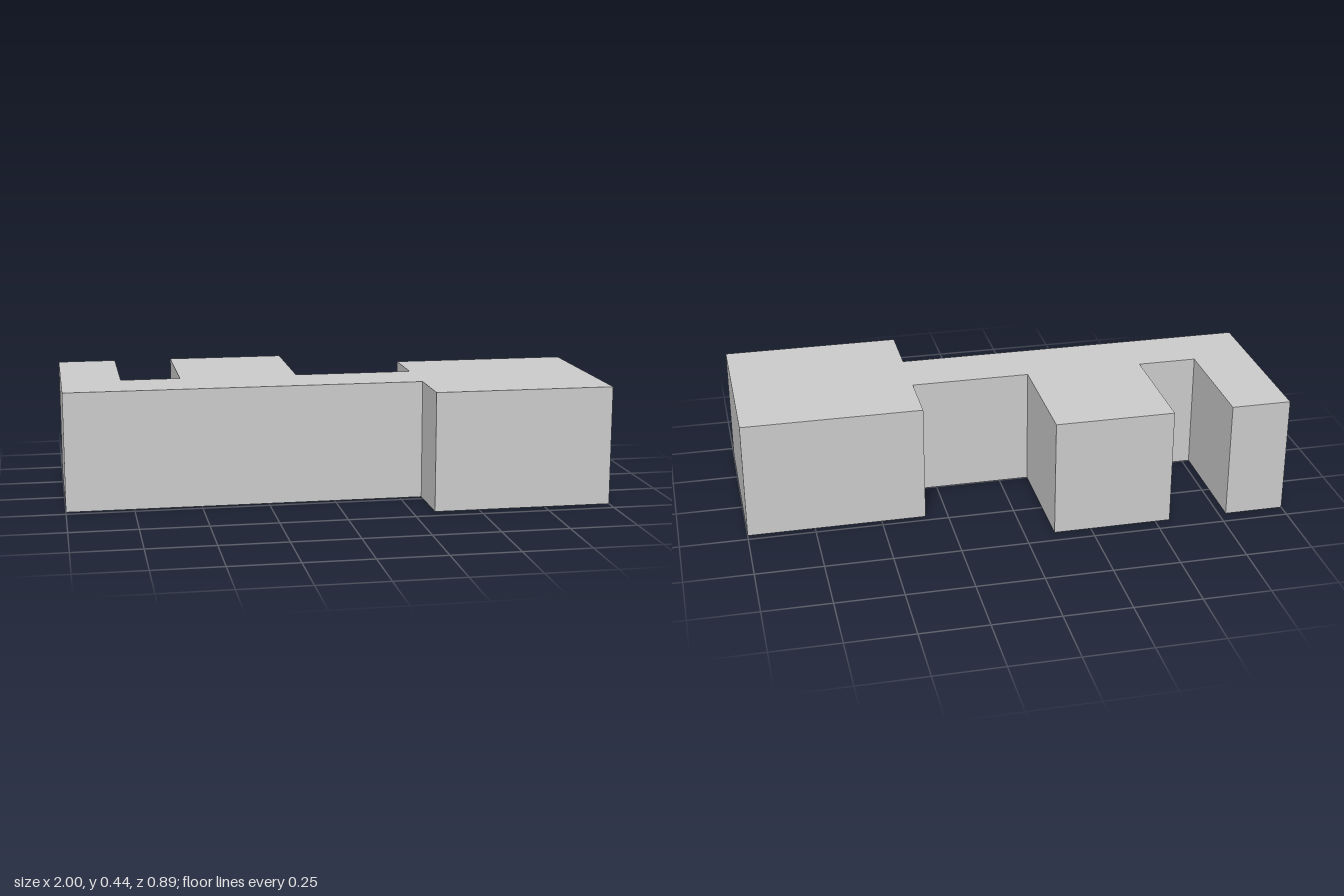
import * as THREE from 'three';

// The key is laid out on a grid of 9 x 4 cells, two cells high.
const CELL = 2 / 9;

export function createModel() {
  const group = new THREE.Group();
  group.name = 'key';

  // Plan outline in cells as [x, z]: two teeth at the back, a shaft, a square bow
  const outline = [
    [-4.5, 1], [1.5, 1], [1.5, 2], [4.5, 2], [4.5, -1], [1.5, -1], [1.5, 0],
    [-0.5, 0], [-0.5, -2], [-2.5, -2], [-2.5, 0],
    [-3.5, 0], [-3.5, -2], [-4.5, -2],
  ];
  const shape = new THREE.Shape(
    outline.map(([x, z]) => new THREE.Vector2(x * CELL, -z * CELL))
  );

  // Extrude, then lay flat so the thickness rises from the ground
  const geometry = new THREE.ExtrudeGeometry(shape, { depth: 2 * CELL, bevelEnabled: false });
  geometry.rotateX(-Math.PI / 2);

  const body = new THREE.Mesh(
    geometry,
    new THREE.MeshStandardMaterial({ color: 0xcccccc, flatShading: true })
  );
  body.name = 'keyBody';
  group.add(body);
  return group;
}
